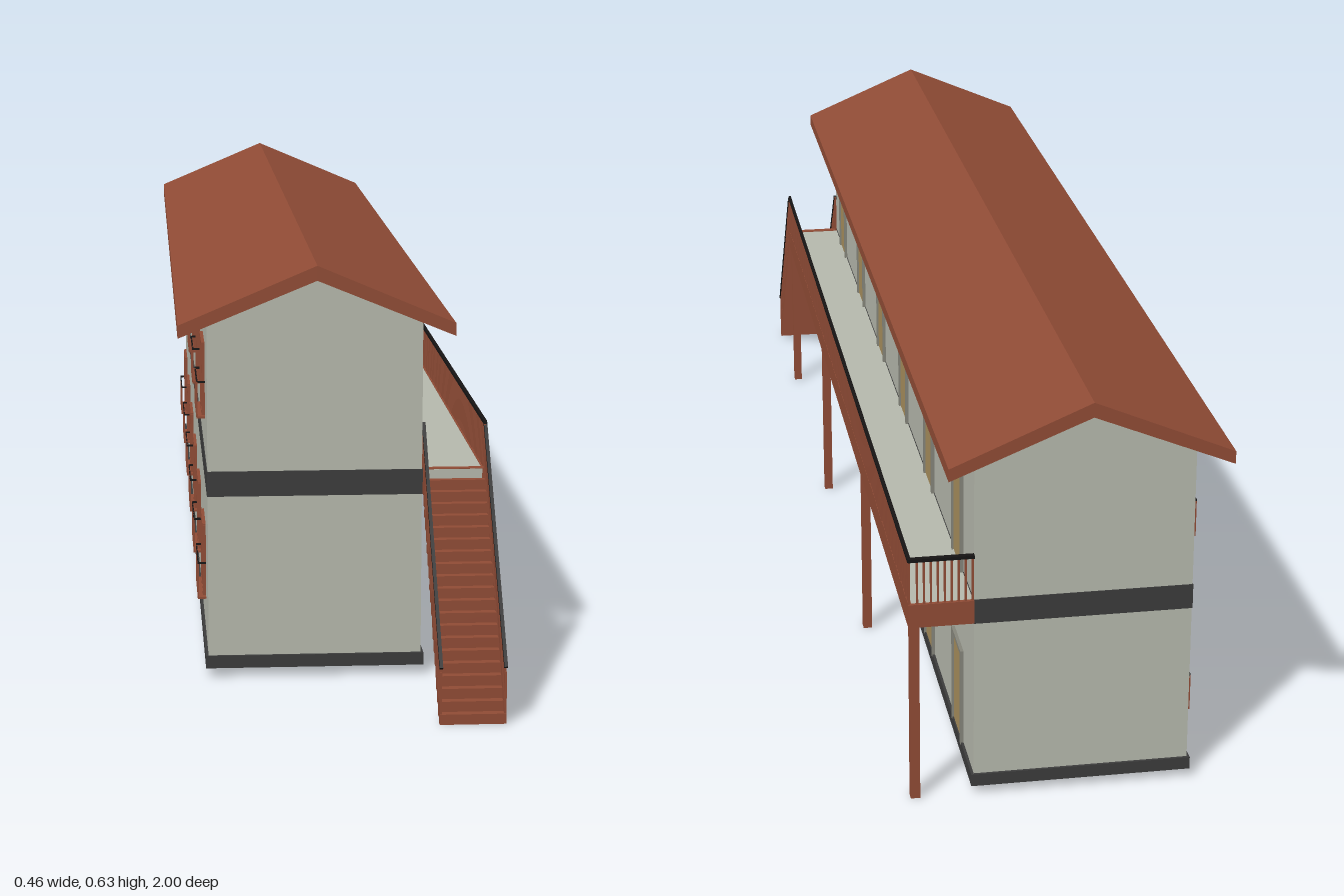
import * as THREE from 'three';

const mat = (color, side = THREE.FrontSide) => new THREE.MeshStandardMaterial({ color, side });
const M = {
  wall: mat(0xb4b7ab), brown: mat(0x8f4b35), dark: mat(0x3b3b3b), rail: mat(0x161414),
  door: mat(0xa68d5c), frame: mat(0x84847a), glass: mat(0x8fa8ba),
};

// Box given by its min and max corners
function box(parent, name, m, x0, x1, y0, y1, z0, z1) {
  const mesh = new THREE.Mesh(new THREE.BoxGeometry(x1 - x0, y1 - y0, z1 - z0), m);
  mesh.position.set((x0 + x1) / 2, (y0 + y1) / 2, (z0 + z1) / 2);
  mesh.name = name;
  parent.add(mesh);
  return mesh;
}

function group(parent, name) {
  const g = new THREE.Group();
  g.name = name;
  parent.add(g);
  return g;
}

// Outline in x,y pushed along z from z0 to z1
function prism(parent, name, m, points, z0, z1) {
  const shape = new THREE.Shape(points.map(([x, y]) => new THREE.Vector2(x, y)));
  const geo = new THREE.ExtrudeGeometry(shape, { depth: z1 - z0, bevelEnabled: false });
  const mesh = new THREE.Mesh(geo, m);
  mesh.position.z = z0;
  mesh.name = name;
  parent.add(mesh);
}

const XL = -0.187, XR = 0.132, ZB = -0.95, ZF = 0.75; // wall faces
const T = 0.006;                                      // wall thickness
const DECK = 0.315, OUT = 0.227, RAIL = 0.387;        // gallery
const RIDGE = -0.027;

// Open-bottomed shell, floor band and plinth ring
function addBuilding(root) {
  const g = group(root, 'building');
  box(g, 'leftWall', M.wall, XL, XL + T, 0.015, 0.54, ZB, ZF);
  box(g, 'rightWall', M.wall, XR - T, XR, 0.015, 0.54, ZB, ZF);
  const gable = [[XL, 0.015], [XR, 0.015], [XR, 0.54], [RIDGE, 0.606], [XL, 0.54]];
  prism(g, 'frontGable', M.wall, gable, ZF - T, ZF);
  prism(g, 'backGable', M.wall, gable, ZB, ZB + T);
  box(g, 'floorBand', M.dark, XL - 0.001, XR + 0.001, 0.277, DECK, ZB - 0.001, ZF + 0.001);

  const p = group(g, 'plinth'), e = 0.004, w = 0.009;
  for (const x of [XL - e, XR + e - w]) box(p, 'plinthSide', M.dark, x, x + w, 0.014, 0.033, ZB - e, ZF + e);
  for (const z of [ZB - e, ZF + e - w]) box(p, 'plinthEnd', M.dark, XL - e, XR + e, 0.014, 0.033, z, z + w);

  prism(g, 'roof', M.brown, [
    [-0.23, 0.522], [RIDGE, 0.605], [0.176, 0.522],
    [0.176, 0.541], [RIDGE, 0.627], [-0.23, 0.541],
  ], -1, 0.79);
}

function addDoor(root, z, y) {
  const g = group(root, 'door'), h = 0.153, w = 0.04;
  box(g, 'doorLeaf', M.door, XR - 0.004, XR + 0.002, y, y + h, z - w, z + w);
  for (const s of [-1, 1]) {
    const c = z + s * w;
    box(g, 'doorJamb', M.frame, XR - 0.002, XR + 0.005, y, y + h, c - 0.003, c + 0.003);
  }
  box(g, 'doorHead', M.frame, XR - 0.002, XR + 0.005, y + h - 0.004, y + h + 0.002, z - w - 0.003, z + w + 0.003);
}

// Window with frame and a shallow railed balcony
function addWindow(root, z, y) {
  const g = group(root, 'window'), w = 0.052, h = 0.108, f = 0.004;
  box(g, 'glass', M.glass, XL - 0.002, XL + T + 0.001, y, y + h, z - w, z + w);
  for (const c of [z - w, z, z + w]) box(g, 'frameUpright', M.brown, XL - 0.005, XL, y, y + h, c - f / 2, c + f / 2);
  for (const c of [y, y + h]) box(g, 'frameBar', M.brown, XL - 0.005, XL, c - f / 2, c + f / 2, z - w, z + w);

  const b = group(g, 'balcony'), x0 = -0.2, y0 = y - 0.006, y1 = y + 0.052, bw = 0.06;
  box(b, 'balconyBase', M.brown, x0, XL, y0, y0 + 0.003, z - bw, z + bw);
  box(b, 'frontRail', M.rail, x0, x0 + 0.002, y1 - 0.003, y1, z - bw, z + bw);
  for (const s of [-1, 1]) {
    const c = z + s * (bw - 0.001);
    box(b, 'sideRail', M.rail, x0, XL, y1 - 0.003, y1, c - 0.001, c + 0.001);
  }
  const n = 9;
  for (let i = 0; i <= n; i++) {
    const c = z - bw + 0.001 + (2 * bw - 0.002) * i / n;
    box(b, 'balconyBar', M.brown, x0, x0 + 0.002, y0, y1, c - 0.001, c + 0.001);
  }
}

function addGallery(root) {
  const g = group(root, 'gallery');
  box(g, 'deck', M.wall, XR, OUT - 0.004, 0.285, DECK - 0.001, ZB, ZF);
  box(g, 'sideFascia', M.brown, OUT - 0.005, OUT, 0.279, DECK, ZB - 0.004, ZF);
  box(g, 'backFascia', M.brown, XR, OUT, 0.279, DECK, ZB - 0.004, ZB + 0.002);
  for (const z of [0.738, 0.18, -0.392, -0.944])
    box(g, 'post', M.brown, OUT - 0.016, OUT - 0.002, 0, 0.285, z - 0.007, z + 0.007);

  // Railing along the side and across the back end
  const r = group(g, 'galleryRailing');
  box(r, 'sideHandrail', M.rail, OUT - 0.004, OUT + 0.001, RAIL - 0.005, RAIL, ZB - 0.004, ZF);
  box(r, 'backHandrail', M.rail, XR, OUT, RAIL - 0.005, RAIL, ZB - 0.006, ZB + 0.002);
  const n = 130, k = 9;
  for (let i = 0; i <= n; i++) {
    const z = ZB + (ZF - 0.002 - ZB) * i / n;
    box(r, 'sideBar', M.brown, OUT - 0.003, OUT, DECK, RAIL - 0.005, z - 0.0015, z + 0.0015);
  }
  for (let i = 0; i < k; i++) {
    const x = XR + 0.002 + (OUT - XR - 0.005) * i / k;
    box(r, 'backBar', M.brown, x - 0.0015, x + 0.0015, DECK, RAIL - 0.005, ZB - 0.003, ZB);
  }
}

function addStairs(root) {
  const g = group(root, 'stairs'), n = 21, z0 = 0.737;
  const rise = DECK / n, run = (1 - z0) / n, x0 = XR + 0.001, x1 = OUT + 0.001;
  for (let i = 0; i < n; i++) {
    const top = DECK - i * rise, z = z0 + i * run;
    box(g, 'step', M.brown, x0, x1, Math.max(0, top - rise * 1.5), top, z, z + run);
    for (const x of [x0, x1 - 0.003])
      for (const t of [0.25, 0.75])
        box(g, 'stairBar', M.brown, x, x + 0.003, top - rise, top + 0.072 - t * rise,
          z + t * run - 0.0013, z + t * run + 0.0013);
  }
  // Sloping handrails
  const dy = RAIL - 0.083, dz = 1 - 0.742;
  for (const x of [x0 + 0.0015, x1 - 0.0015]) {
    const rail = new THREE.Mesh(new THREE.BoxGeometry(0.005, 0.005, Math.hypot(dy, dz) - 0.004), M.rail);
    rail.position.set(x, (RAIL + 0.083) / 2 - 0.002, (1 + 0.742) / 2);
    rail.rotation.x = Math.atan2(dy, dz);
    rail.name = 'stairHandrail';
    g.add(rail);
  }
}

export function createModel() {
  const root = new THREE.Group();
  root.name = 'twoStoreyBuilding';
  addBuilding(root);
  for (let i = 0; i < 6; i++) {
    for (const floor of [0, 0.283]) {
      addDoor(root, 0.61 - 0.285 * i, 0.03 + floor);
      addWindow(root, 0.572 - 0.284 * i, 0.094 + floor);
    }
  }
  addGallery(root);
  addStairs(root);
  return root;
}
